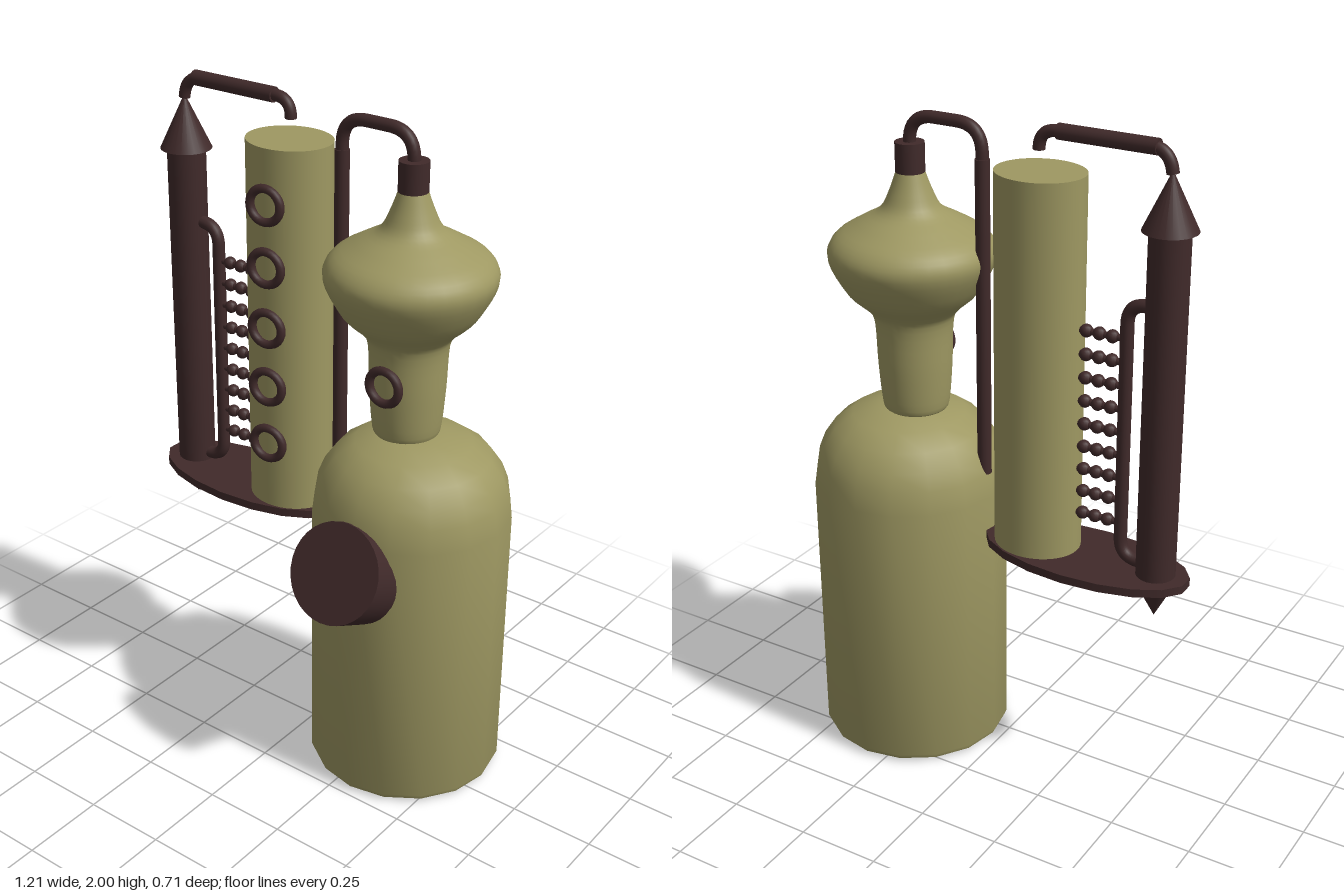
import * as THREE from 'three';
import { toCreasedNormals } from 'three/addons/utils/BufferGeometryUtils.js';

const Z = -0.06; // common depth of all vertical parts
const olive = new THREE.MeshStandardMaterial({ color: 0x9e9862 });
const dark = new THREE.MeshStandardMaterial({ color: 0x402a2a });

export function createModel() {
  const root = new THREE.Group();

  const add = (name, geo, mat, x, y, z = Z, parent = root) => {
    const mesh = new THREE.Mesh(geo, mat);
    mesh.name = name;
    mesh.position.set(x, y, z);
    parent.add(mesh);
    return mesh;
  };
  const v2 = (list) => list.map(([r, y]) => new THREE.Vector2(r, y));
  const lathe = (points, sides) => toCreasedNormals(new THREE.LatheGeometry(points, sides), 0.7);
  const cyl = (r, h, sides = 24) => new THREE.CylinderGeometry(r, r, h, sides);

  // Pipe through points in the (x, y) plane, with rounded corners and end caps
  const pipe = (name, pts, radius, bend) => {
    const p = pts.map(([x, y]) => new THREE.Vector3(x, y, 0));
    const path = new THREE.CurvePath();
    let last = p[0];
    for (let i = 1; i < p.length - 1; i++) {
      const toward = (q) => p[i].clone().add(
        q.clone().sub(p[i]).setLength(Math.min(bend, q.distanceTo(p[i]) * 0.95)));
      const a = toward(p[i - 1]), b = toward(p[i + 1]);
      path.add(new THREE.LineCurve3(last, a));
      path.add(new THREE.QuadraticBezierCurve3(a, p[i], b));
      last = b;
    }
    path.add(new THREE.LineCurve3(last, p[p.length - 1]));
    const group = new THREE.Group();
    group.name = name;
    group.position.z = Z;
    root.add(group);
    add(name + 'Tube', new THREE.TubeGeometry(path, 96, radius, 12), dark, 0, 0, 0, group);
    for (const t of [0, 1]) {
      const cap = add(name + 'Cap', new THREE.CircleGeometry(radius, 12), dark, 0, 0, 0, group);
      cap.position.copy(path.getPointAt(t));
      cap.quaternion.setFromUnitVectors(new THREE.Vector3(0, 0, 1),
        path.getTangentAt(t).multiplyScalar(t ? 1 : -1));
    }
  };

  // Boiler pot with a domed shoulder
  add('pot', lathe(v2([[0, 0], [0.15, 0.003], [0.285, 0.01], [0.291, 0.025], [0.291, 0.86],
    [0.28, 0.93], [0.26, 0.98], [0.225, 1.03], [0.17, 1.07], [0.09, 1.095], [0, 1.1]]), 16),
  olive, 0.31, 0);

  // Neck and onion-shaped head
  const headCurve = new THREE.SplineCurve(v2([[0.085, 1.09], [0.098, 1.11], [0.108, 1.23],
    [0.114, 1.36], [0.135, 1.405], [0.192, 1.46], [0.24, 1.555], [0.222, 1.613], [0.155, 1.657],
    [0.09, 1.695], [0.062, 1.745], [0.04, 1.805]]));
  add('neckAndHead', new THREE.LatheGeometry(headCurve.getPoints(44), 32), olive, 0.283, 0);
  add('headCollar', cyl(0.042, 0.085), dark, 0.283, 1.843);

  // Slanted manhole on the pot
  add('manhole', cyl(0.145, 0.2, 32), dark, 0.295, 0.75, 0.204).rotation.x = 1.115;

  // Round window rings on neck and column
  const ring = new THREE.TorusGeometry(0.049, 0.013, 10, 28);
  add('neckWindow', ring, dark, 0.28, 1.268, 0.052);
  for (let i = 0; i < 5; i++) {
    add('columnWindow', ring, dark, -0.13, 0.965 + i * 0.1845, 0.055).rotation.y = 0.12;
  }

  // Oval column
  add('column', cyl(1, 1.11, 40), olive, -0.133, 1.31).scale.set(0.13, 1, 0.114);

  // Oval platform
  add('platform', cyl(1, 0.025, 18), dark, -0.292, 0.743).scale.set(0.325, 1, 0.147);

  // Condenser with pointed ends
  add('condenser', cyl(0.057, 1.01), dark, -0.517, 1.26);
  add('condenserRoof', new THREE.ConeGeometry(0.076, 0.16, 24), dark, -0.517, 1.845);
  add('condenserTip', new THREE.ConeGeometry(0.06, 0.115, 24), dark, -0.517, 0.677).rotation.z = Math.PI;

  // Connecting pipes
  pipe('topPipe', [[-0.517, 1.915], [-0.505, 1.978], [-0.128, 1.978], [-0.128, 1.922]], 0.017, 0.055);
  const sleeve = add('topPipeSleeve', cyl(0.022, 0.29, 16), dark, -0.33, 1.978);
  sleeve.rotation.z = Math.PI / 2;
  pipe('riserPipe', [[0.048, 0.93], [0.048, 1.963], [0.283, 1.963], [0.283, 1.87]], 0.018, 0.08);
  add('riserSleeve', cyl(0.021, 0.94, 16), dark, 0.048, 1.4);
  pipe('sidePipe', [[-0.48, 1.548], [-0.403, 1.548], [-0.403, 0.78], [-0.48, 0.78]], 0.019, 0.06);

  // Beaded rungs between side pipe and column
  const bead = new THREE.SphereGeometry(0.019, 12, 8);
  for (let i = 0; i < 9; i++) {
    const rung = new THREE.Group();
    rung.name = 'beadedRung';
    rung.position.set(-0.32, 0.886 + i * 0.0696, Z);
    root.add(rung);
    add('rod', cyl(0.01, 0.15, 8), dark, 0, 0, 0, rung).rotation.z = Math.PI / 2;
    for (const x of [-0.04, 0, 0.04]) add('bead', bead, dark, x, 0, 0, rung);
  }

  return root;
}
